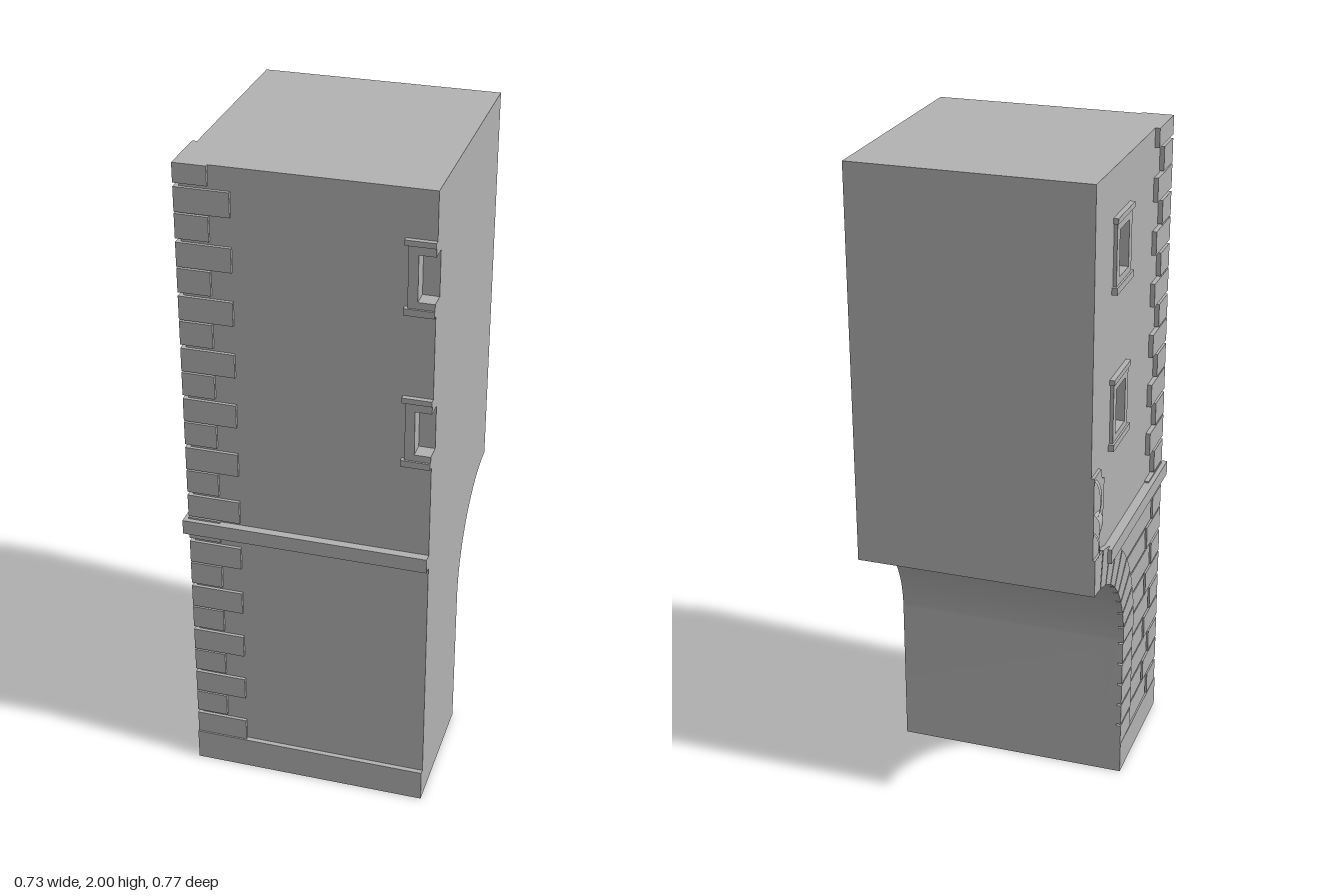
import * as THREE from 'three';
import { toCreasedNormals } from 'three/addons/utils/BufferGeometryUtils.js';

export function createModel() {
  const model = new THREE.Group();
  const stone = new THREE.MeshStandardMaterial({ color: 0xb2b2b2 });
  stone.name = 'grey stone';

  // Main dimensions
  const LEFT = -0.34, RIGHT = 0.365, FRONT = 0.36, BACK = -0.385;
  const SPRING = 0.467, R = 0.335, RING = 0.45, RECESS = 0.04;
  const windowBases = [1.18, 1.645];
  const sideWindowZ = -0.132;

  function add(name, geometry, parent = model) {
    const mesh = new THREE.Mesh(geometry, stone);
    mesh.name = name;
    parent.add(mesh);
    return mesh;
  }
  function group(name) {
    const g = new THREE.Group();
    g.name = name;
    model.add(g);
    return g;
  }
  function box(name, x0, x1, y0, y1, z0, z1, parent) {
    const g = new THREE.BoxGeometry(x1 - x0, y1 - y0, z1 - z0);
    g.translate((x0 + x1) / 2, (y0 + y1) / 2, (z0 + z1) / 2);
    return add(name, g, parent);
  }
  // Extrudes a (z, y) shape between two x positions
  function sideExtrude(name, shape, x0, x1, parent) {
    const g = new THREE.ExtrudeGeometry(shape, { depth: x1 - x0, bevelEnabled: false, curveSegments: 40 });
    g.rotateY(-Math.PI / 2).translate(x1, 0, 0);
    return add(name, toCreasedNormals(g, 0.4), parent);
  }
  const polygon = (pts) => new THREE.Shape(pts.map(([u, v]) => new THREE.Vector2(u, v)));

  // Tower outline with half an archway cut from the lower back
  function bodyShape(zFront) {
    const s = new THREE.Shape();
    s.moveTo(BACK + R, 0);
    s.lineTo(zFront, 0);
    s.lineTo(zFront, 2);
    s.lineTo(BACK, 2);
    s.lineTo(BACK, SPRING + R);
    s.absarc(BACK, SPRING, R, Math.PI / 2, 0, true);
    s.closePath();
    return s;
  }
  sideExtrude('towerCore', bodyShape(FRONT - RECESS), LEFT + RECESS, RIGHT);

  // Left wall skin with window openings
  const skin = bodyShape(FRONT);
  for (const y of windowBases) {
    const a = sideWindowZ - 0.047, b = sideWindowZ + 0.047;
    skin.holes.push(polygon([[a, y + 0.04], [a, y + 0.175], [b, y + 0.175], [b, y + 0.04]]));
  }
  sideExtrude('leftWall', skin, LEFT, LEFT + RECESS);

  // Front wall skin, notched where the half windows meet the cut edge
  const pts = [[LEFT + RECESS, 0], [RIGHT, 0]];
  for (const y of windowBases) {
    pts.push([RIGHT, y + 0.04], [RIGHT - 0.047, y + 0.04], [RIGHT - 0.047, y + 0.175], [RIGHT, y + 0.175]);
  }
  pts.push([RIGHT, 2], [LEFT + RECESS, 2]);
  const frontSkin = new THREE.ExtrudeGeometry(polygon(pts), { depth: RECESS, bevelEnabled: false });
  add('frontWall', frontSkin.translate(0, 0, FRONT - RECESS));

  // Window surrounds: [name, inner, outer, bottom, top, depth] per half
  const surround = [
    ['sill', 0, 0.085, 0, 0.02, 0.016],
    ['apron', 0, 0.075, 0.02, 0.04, 0.01],
    ['jamb', 0.047, 0.075, 0.04, 0.175, 0.01],
    ['header', 0, 0.075, 0.175, 0.2, 0.01],
    ['lintel', 0, 0.085, 0.2, 0.216, 0.015],
  ];
  for (const y of windowBases) {
    const front = group('frontHalfWindow'), side = group('leftWindow');
    for (const [name, u0, u1, v0, v1, d] of surround) {
      box(name, RIGHT - u1, RIGHT - u0, y + v0, y + v1, FRONT, FRONT + d, front);
      box(name, LEFT - d, LEFT, y + v0, y + v1, sideWindowZ + u0, sideWindowZ + u1, side);
      box(name, LEFT - d, LEFT, y + v0, y + v1, sideWindowZ - u1, sideWindowZ - u0, side);
    }
  }

  // Plinth and string course
  const plinth = group('plinth');
  box('frontPlinth', LEFT, RIGHT, 0, 0.1, FRONT, 0.375, plinth);
  box('leftPlinth', -0.355, LEFT, 0, 0.1, BACK + R, 0.375, plinth);
  const string = group('stringCourse');
  box('frontString', LEFT, RIGHT, 0.845, 0.89, FRONT, 0.385, string);
  box('leftString', -0.368, LEFT, 0.845, 0.89, -0.255, 0.385, string);

  // Corner stones alternating long and short on each face
  const quoins = group('cornerStones');
  for (let i = 0; i < 24; i++) {
    const longFront = i % 2 === 0;
    const y0 = 0.1 + i * 0.08 + (longFront ? 0 : 0.003), y1 = Math.min(2, y0 + 0.072);
    box('frontCornerStone', LEFT, longFront ? -0.197 : -0.258, y0, y1, FRONT, 0.37, quoins);
    box('leftCornerStone', -0.354, LEFT, y0, y1, longFront ? 0.27 : 0.21, 0.37, quoins);
  }

  // Coursed wall stones between the arch ring and the corner
  const courses = group('wallStones');
  const ringZ = (y) => BACK + Math.sqrt(RING * RING - Math.max(0, y - SPRING) ** 2) + 0.006;
  for (let i = 0; i < 10; i++) {
    const y0 = 0.1 + i * 0.08, y1 = Math.min(0.845, y0 + 0.074), ym = (y0 + y1) / 2;
    const end = (i % 2 === 0 ? 0.27 : 0.21) - 0.007;
    sideExtrude('wallStone', polygon([[ringZ(y0), y0], [end, y0], [end, y1], [ringZ(y1), y1], [ringZ(ym), ym]]),
      -0.35, LEFT, courses);
  }

  // Arch ring: straight jamb stones, then wedge stones
  const arch = group('archRing');
  for (let y = 0.1; y < SPRING - 0.01; y += 0.0734) {
    box('jambStone', -0.354, LEFT, y, y + 0.067, BACK + R, BACK + RING, arch);
  }
  const wedges = 9, step = Math.PI / 2 / wedges;
  for (let i = 0; i < wedges; i++) {
    const a = i * step, b = a + step - (i === wedges - 1 ? 0 : 0.016);
    const s = new THREE.Shape();
    s.absarc(BACK, SPRING, RING, a, b, false);
    s.absarc(BACK, SPRING, R, b, a, true);
    s.closePath();
    sideExtrude('wedgeStone', s, -0.356, LEFT, arch);
  }

  // Half keystone ornament above the arch, cut at the back edge
  const ornament = group('keystoneOrnament');
  const plate = new THREE.Shape();
  plate.moveTo(BACK, 0.9);
  plate.lineTo(-0.33, 0.9);
  plate.quadraticCurveTo(-0.335, 0.97, -0.29, 1.0);
  plate.lineTo(-0.282, 1.13);
  plate.quadraticCurveTo(-0.31, 1.13, -0.315, 1.17);
  plate.lineTo(BACK, 1.17);
  plate.closePath();
  sideExtrude('ornamentPlate', plate, -0.349, LEFT, ornament);
  for (const [y, h, w] of [[1.1, 0.065, 0.055], [1.02, 0.04, 0.08], [0.95, 0.05, 0.04]]) {
    const boss = new THREE.SphereGeometry(1, 20, 12, 0, Math.PI);
    boss.scale(0.022, h, w).translate(-0.345, y, BACK);
    add('carvedBoss', boss, ornament);
  }
  return model;
}
